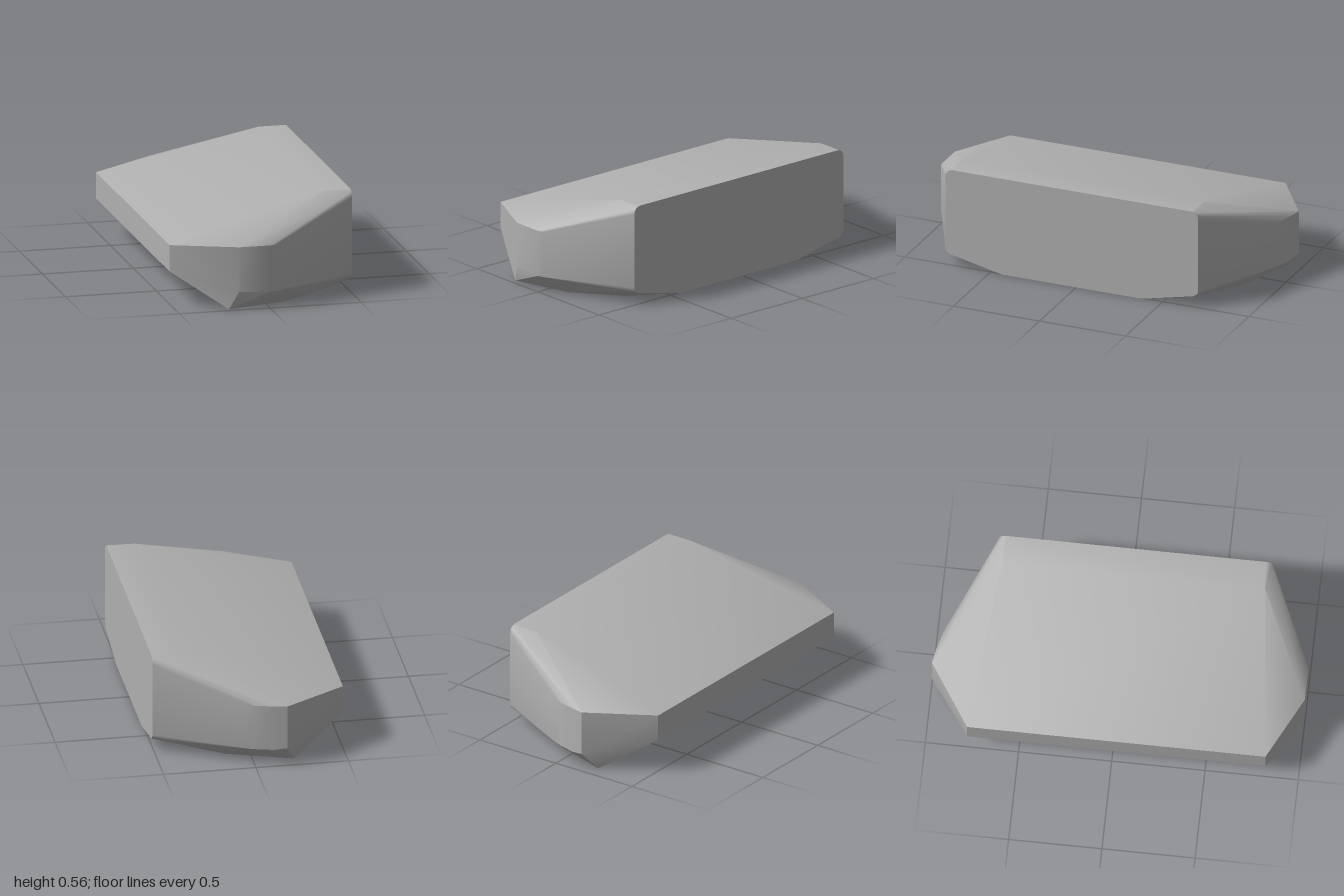
import * as THREE from 'three';
import { ConvexGeometry } from 'three/addons/geometries/ConvexGeometry.js';
import { toCreasedNormals } from 'three/addons/utils/BufferGeometryUtils.js';

// Points of a rounded corner on the tall end face (x = 0.51)
function corner(zEdge, side, y, up, r) {
  const pts = [];
  for (let i = 0; i <= 4; i++) {
    const a = (i / 4) * Math.PI / 2;
    pts.push([0.51, y + up * r * Math.sin(a), zEdge - side * r * (1 - Math.cos(a))]);
  }
  return pts;
}

// Half outline for one end of the block; side is +1 front, -1 back
function endPoints(side, d) {
  const s = side;
  return [
    // low end face
    [-0.51, 0.19, s * d.low], [-0.51, 0.335, s * d.low],
    // widest band, curving round the end
    [-0.17, 0.10, s], [-0.17, 0.345, s],
    ...d.band.flatMap(([x, z]) => [[x, 0.09, s * z], [x, 0.345, s * z]]),
    // curved edge of the flat underside
    ...d.base.map(([x, z]) => [x, 0, s * z]),
    // tall end face: rounded top corner and bevelled bottom corner
    ...corner(s * d.tall, s, 0.517, 1, 0.04),
    [0.51, 0.10, s * d.tall], [0.51, 0.08, s * (d.tall - 0.008)], [0.51, 0.066, s * (d.tall - 0.03)],
    // break in the sloping top
    [0.36, 0.555, s * (d.tall - 0.03)],
  ];
}

export function createModel() {
  const group = new THREE.Group();
  group.name = 'wedgeBlock';
  const grey = new THREE.MeshStandardMaterial({ color: 0xb0b0b0 });
  grey.name = 'grey';

  const front = endPoints(1, {
    low: 0.825, tall: 0.76,
    band: [[0.0, 1.0], [0.03, 0.992]],
    base: [[-0.22, 0.97], [0.11, 0.88], [0.36, 0.68], [0.51, 0.43]],
  });
  const back = endPoints(-1, {
    low: 0.775, tall: 0.71,
    band: [[-0.1, 0.987], [0.0, 0.96], [0.05, 0.94]],
    base: [[-0.22, 0.92], [0.13, 0.80], [0.41, 0.57], [0.51, 0.38]],
  });

  // faceted block with softened shallow edges
  const hull = new ConvexGeometry([...front, ...back].map((p) => new THREE.Vector3(...p)));
  const body = new THREE.Mesh(toCreasedNormals(hull, 0.5), grey);
  body.name = 'body';
  group.add(body);
  return group;
}
